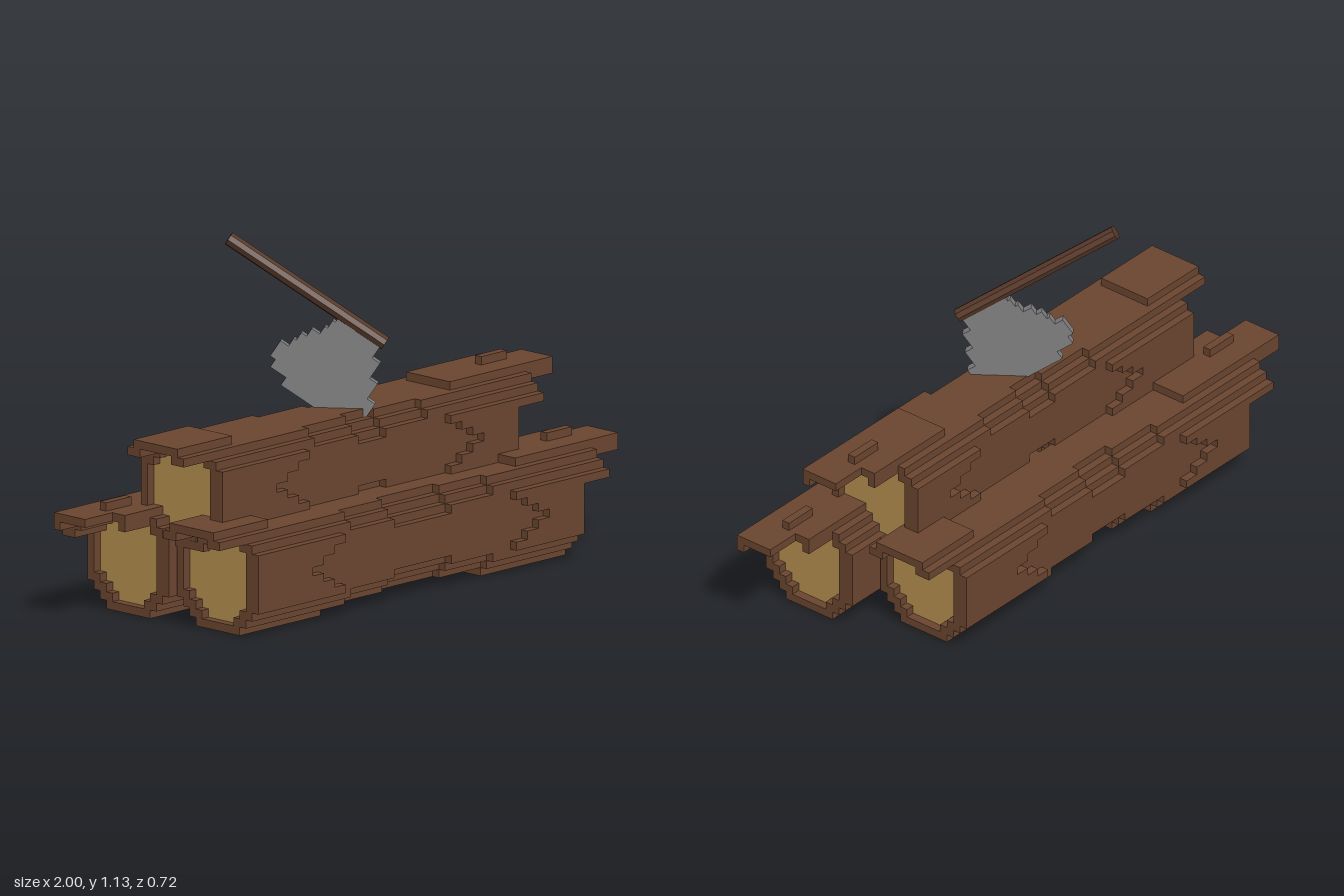
import * as THREE from 'three';
import { mergeGeometries } from 'three/addons/utils/BufferGeometryUtils.js';

const V = 0.0273; // block size
const material = (color) => new THREE.MeshStandardMaterial({ color, flatShading: true });
const bark = material(0x6b4630);
const wood = material(0xb69050);
const handleWood = material(0x583828);
const steel = material(0x808080);

// half widths, in blocks, of each row of a log from bottom to top
const OUTER = [3, 4, 5, 6, 6, 6, 6, 6, 6, 6, 5, 4, 3];
const INNER = [-1, 3, 4, 5, 5, 5, 5, 5, 5, 5, 4, 3, -1]; // inner bark
const CORE = [-1, 2, 3, 4, 5, 5, 5, 5, 5, 4, 3, 2, -1]; // bare wood

// stepped outline from rows of [low, high]
function steppedShape(rows, y0, step) {
  const right = [], left = [];
  rows.forEach(([lo, hi], k) => {
    const a = y0 + k * step, b = a + step;
    right.push(new THREE.Vector2(hi, a), new THREE.Vector2(hi, b));
    left.push(new THREE.Vector2(lo, a), new THREE.Vector2(lo, b));
  });
  return new THREE.Shape([...right, ...left.reverse()]);
}

// bark strip, one block thick, from x0 to x1 at cell (i, j)
function strip(x0, x1, i, j) {
  const g = new THREE.BoxGeometry(x1 - x0, V, V);
  return g.translate((x0 + x1) / 2, (j + 0.5) * V, i * V);
}

// how far the bark overhangs the wood at the +x end
function overhangRight(i, j) {
  if ((j === 12 && i >= -1) || (j === 11 && i === 3)) return 0.27; // long tongue
  return j >= 9 && i >= -3 ? 0.145 : 0.03;
}

// how far the bark overhangs the wood at the -x end
function overhangLeft(i, j) {
  return j >= 11 ? 0.15 : 0.03;
}

// how far the outer bark reaches from each end towards the middle
function reach(i, j) {
  if (j === 12) return [0.1, 0.2];
  if (j === 0) return i > 0 ? [0.34, 0.36] : [0.25, 0.43];
  if (j < 3 || j > 9) return [0.42, 0.36];
  const d = Math.abs(j - 6); // longer away from the widest row
  return [0.22 + 0.05 * d, 0.13 + 0.05 * d];
}

function makeLog(name, capL, capR) {
  const log = new THREE.Group();
  log.name = name;

  // inner body with bare wood at both ends
  const rows = CORE.slice(1, 12).map((h) => [-(h + 0.5) * V, (h + 0.5) * V]);
  const body = new THREE.ExtrudeGeometry(steppedShape(rows, V, V), { depth: capR - capL, bevelEnabled: false });
  body.rotateY(Math.PI / 2).translate(capL, 0, 0);
  const core = new THREE.Mesh(body, [wood, bark]);
  core.name = 'woodCore';
  log.add(core);

  // stepped bark, thick at the ends and worn away in the middle
  const parts = [];
  OUTER.forEach((half, j) => {
    for (let i = -half; i <= half; i++) {
      if (Math.abs(i) <= CORE[j]) continue;
      const x0 = capL - overhangLeft(i, j), x1 = capR + overhangRight(i, j);
      const [left, right] = Math.abs(i) <= INNER[j] ? [0.62, 0.55] : reach(i, j);
      parts.push(strip(x0, capL + left, i, j), strip(capR - right, x1, i, j));
    }
  });
  // second layer of bark lips beside the bare ends
  for (let j = 3; j <= 9; j++) {
    parts.push(strip(capR - V, capR + 0.03, -5, j), strip(capL - 0.03, capL + V, 5, j));
  }
  parts.push(strip(capR + 0.03, capR + 0.145, 0, 13)); // raised chip on top
  const shell = new THREE.Mesh(mergeGeometries(parts), bark);
  shell.name = 'bark';
  log.add(shell);
  return log;
}

function makeAxe() {
  const axe = new THREE.Group();
  axe.name = 'axe';

  // handle lies along local x, blade hangs towards -y
  const handle = new THREE.Mesh(new THREE.CylinderGeometry(0.023, 0.023, 0.595, 8).rotateZ(Math.PI / 2), handleWood);
  handle.position.x = 0.29;
  handle.name = 'axeHandle';

  const rows = [
    [0, 0.16], [0, 0.17], [-0.03, 0.18], [-0.03, 0.21], [-0.06, 0.23],
    [-0.06, 0.24], [-0.09, 0.27], [-0.09, 0.27], [-0.09, 0.25], [-0.06, 0.19],
  ];
  const g = new THREE.ExtrudeGeometry(steppedShape(rows, 0, -0.03), { depth: 0.028, bevelEnabled: false });
  const blade = new THREE.Mesh(g.translate(0, 0, -0.014), steel);
  blade.name = 'axeBlade';

  axe.add(handle, blade);
  axe.rotation.set(0, Math.atan2(0.8, -0.6), Math.atan2(0.319, 0.485), 'YXZ');
  axe.position.set(0.075, 0.788, 0.135);
  return axe;
}

export function createModel() {
  const model = new THREE.Group();
  model.name = 'logPileWithAxe';

  const front = makeLog('frontLog', -0.7, 0.73);
  front.position.z = 0.182;

  const back = makeLog('backLog', -0.6, 0.73);
  back.rotation.y = Math.PI;
  back.position.z = -0.18;

  const top = makeLog('topLog', -0.7, 0.595);
  top.position.set(0, 0.245, 0.025);

  model.add(front, back, top, makeAxe());
  return model;
}
